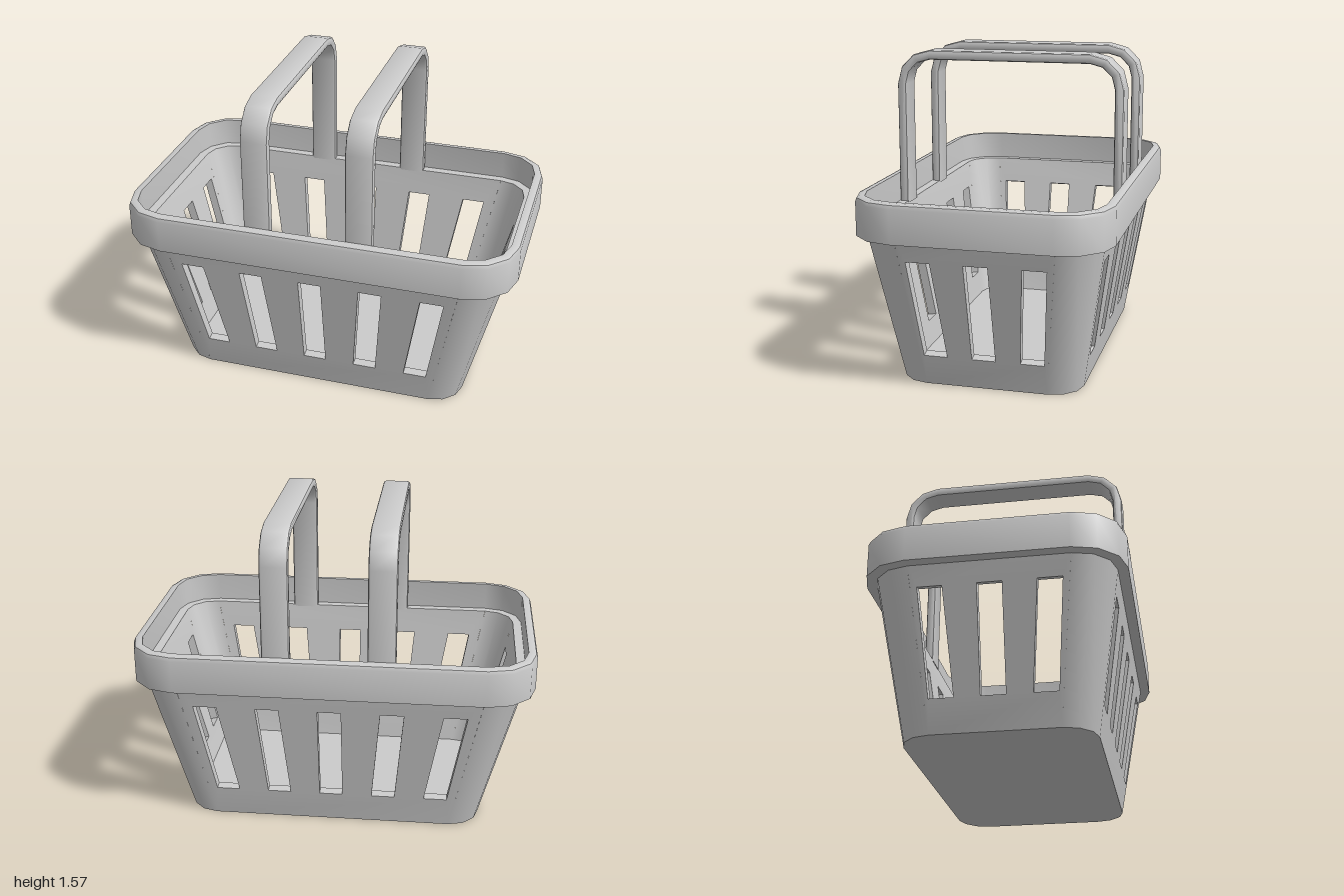
import * as THREE from 'three';
import { mergeGeometries, toCreasedNormals } from 'three/addons/utils/BufferGeometryUtils.js';

const WALL_TOP = 0.8, THICK = 0.045, SLOPE_X = 0.258, SLOPE_Z = 0.159;
const SEG = 3; // facets per rounded corner

// Rounded rectangle at height y, as a loop of points
function ring(hx, hz, r, y) {
  const pts = [];
  for (let q = 0; q < 4; q++) {
    const cx = (q === 0 || q === 3 ? 1 : -1) * (hx - r);
    const cz = (q < 2 ? 1 : -1) * (hz - r);
    for (let i = 0; i <= SEG; i++) {
      const a = (q + i / SEG) * Math.PI / 2;
      pts.push(new THREE.Vector3(cx + r * Math.cos(a), y, cz + r * Math.sin(a)));
    }
  }
  return pts;
}

// Skin between successive rings; cornersOnly leaves the four flat sides open
function loft(rings, cornersOnly = false) {
  const tris = [];
  for (let k = 0; k + 1 < rings.length; k++) {
    const lo = rings[k], hi = rings[k + 1], n = lo.length;
    for (let i = 0; i < n; i++) {
      if (cornersOnly && i % (SEG + 1) === SEG) continue;
      const j = (i + 1) % n;
      tris.push(lo[i], hi[i], hi[j], lo[i], hi[j], lo[j]);
    }
  }
  const g = new THREE.BufferGeometry().setFromPoints(tris);
  g.computeVertexNormals();
  return g;
}

// Ring on the sloping wall, inset d from its outer face
const wallRing = (y, d) =>
  ring(0.75 + SLOPE_X * y - d, 0.45 + SLOPE_Z * y - d, 0.15 + 0.045 * y / WALL_TOP - d, y);

// Leaning flat wall with tapering rows of slots
function slottedPanel(bottom, top, base, slope, slots, turn) {
  const quad = (Type, pts) => new Type(pts.map(p => new THREE.Vector2(...p)));
  const shape = quad(THREE.Shape, [[-bottom, 0], [bottom, 0], [top, WALL_TOP], [-top, WALL_TOP]]);
  const w = 0.058, y0 = 0.157, y1 = 0.655;
  for (const [b, t] of slots) {
    shape.holes.push(quad(THREE.Path, [[b - w, y0], [t - w, y1], [t + w, y1], [b + w, y0]]));
  }
  const g = new THREE.ExtrudeGeometry(shape, { depth: 1, bevelEnabled: false });
  const p = g.attributes.position;
  for (let i = 0; i < p.count; i++) {
    const inset = THICK * (1 - p.getZ(i));
    let y = p.getY(i);
    if (y > 0.01 && y < WALL_TOP - 0.01) y += inset * slope; // slots cut square to the wall
    p.setXYZ(i, p.getX(i), y, base + slope * y - inset);
  }
  g.deleteAttribute('uv');
  g.computeVertexNormals();
  return g.rotateY(turn);
}

// Arched handle outline, extruded across its width
function handleGeometry() {
  const pts = [], bottom = 0.79;
  const arch = (h, top, r) => {
    const side = [[h, bottom]];
    for (let i = 0; i <= SEG; i++) {
      const a = i / SEG * Math.PI / 2;
      side.push([h - r + r * Math.cos(a), top - r + r * Math.sin(a)]);
    }
    return [...side, ...side.map(([x, y]) => [-x, y]).reverse()];
  };
  pts.push(...arch(0.574, 1.57, 0.17), ...arch(0.527, 1.523, 0.123).reverse());
  const width = 0.138, bevel = 0.014;
  const g = new THREE.ExtrudeGeometry(new THREE.Shape(pts.map(p => new THREE.Vector2(...p))), {
    depth: width - 2 * bevel, bevelThickness: bevel, bevelSize: bevel,
    bevelOffset: -bevel, bevelSegments: 2,
  });
  g.translate(0, 0, -(width - 2 * bevel) / 2).rotateY(Math.PI / 2);
  return toCreasedNormals(g, 0.65);
}

export function createModel() {
  const group = new THREE.Group();
  const material = new THREE.MeshStandardMaterial({ color: 0xcccccc });
  const add = (name, geometry) => {
    const mesh = new THREE.Mesh(geometry, material);
    mesh.name = name;
    group.add(mesh);
    return mesh;
  };

  // Slotted basket wall: rounded corners plus four flat panels
  const parts = [
    loft([wallRing(0, 0), wallRing(WALL_TOP, 0)], true),
    loft([wallRing(WALL_TOP, THICK), wallRing(0, THICK)], true),
  ];
  const longSlots = [-2, -1, 0, 1, 2].map(i => [i * 0.265, i * 0.309]);
  const shortSlots = [-1, 0, 1].map(i => [i * 0.238, i * 0.277]);
  for (const half of [0, Math.PI]) {
    parts.push(slottedPanel(0.6, 0.761, 0.45, SLOPE_Z, longSlots, half));
    parts.push(slottedPanel(0.3, 0.382, 0.75, SLOPE_X, shortSlots, half + Math.PI / 2));
  }
  add('basketWall', toCreasedNormals(mergeGeometries(parts), 0.65));

  // Floor slab
  const centre = y => ring(0, 0, 0, y);
  add('floor', toCreasedNormals(
    loft([centre(0), wallRing(0, 0), wallRing(0.04, THICK), centre(0.04)]), 0.65));

  // Rim with a chamfered outer edge and an inner ledge: [height, inset]
  const rimProfile = [[0.755, 0.07], [0.755, 0], [0.92, 0], [0.938, 0.007], [0.945, 0.022],
    [0.945, 0.045], [WALL_TOP, 0.045], [WALL_TOP, 0.09]];
  add('rim', toCreasedNormals(
    loft(rimProfile.map(([y, d]) => ring(1 - d, 0.62 - d, 0.24 - d, y))), 0.65));

  // Pair of handles standing on the ledge
  const handle = handleGeometry();
  add('leftHandle', handle).position.x = 0.256;
  add('rightHandle', handle).position.x = -0.256;

  return group;
}
